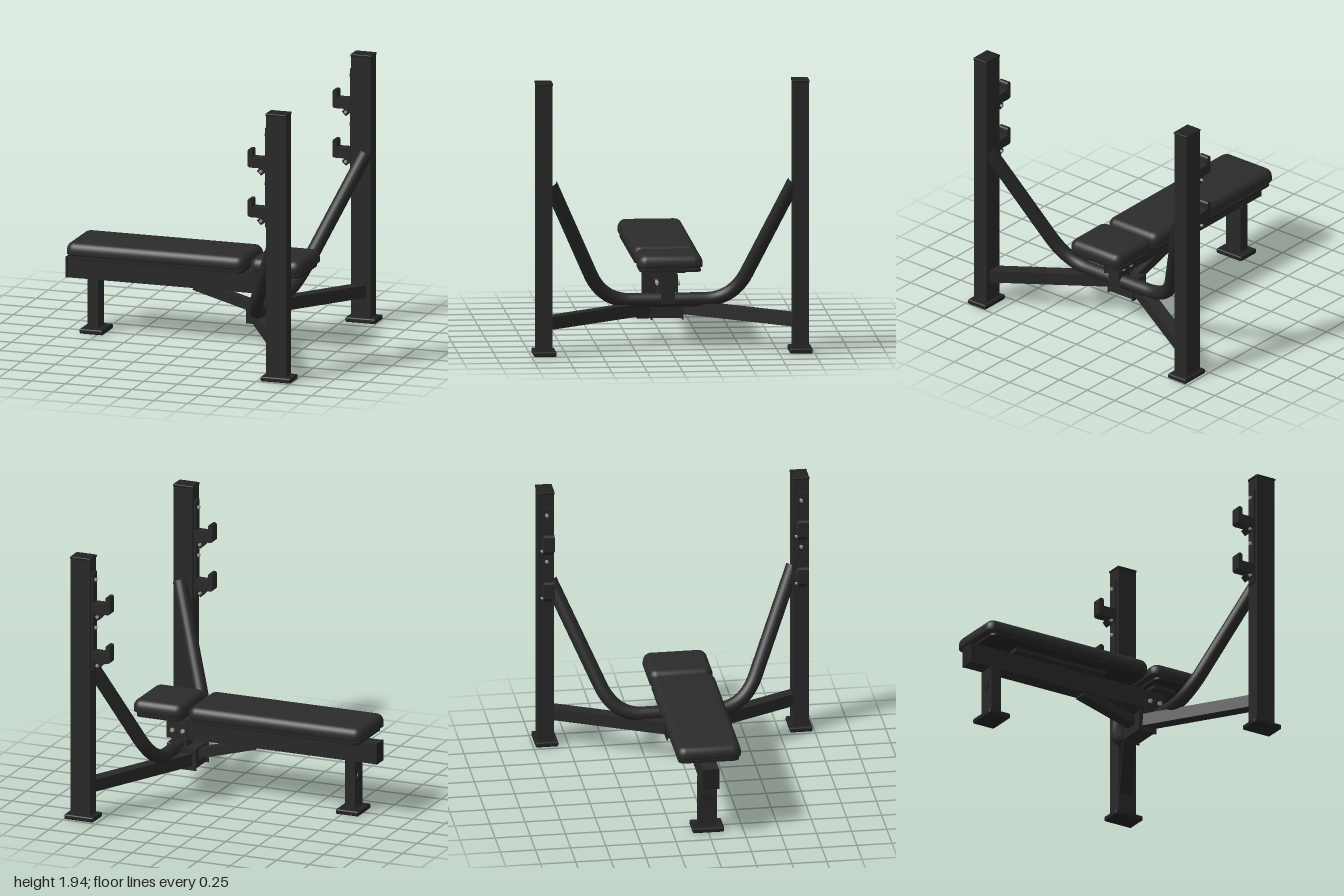
import * as THREE from 'three';
import { toCreasedNormals } from 'three/addons/utils/BufferGeometryUtils.js';
import { RoundedBoxGeometry } from 'three/addons/geometries/RoundedBoxGeometry.js';

const paint = (name, color) => {
  const m = new THREE.MeshStandardMaterial({ color });
  m.name = name;
  return m;
};

export function createModel() {
  const frame = paint('frame black', 0x282828);
  const vinyl = paint('pad vinyl', 0x2b2b2b);
  const dark = paint('foot black', 0x222222);
  const steel = paint('bolt steel', 0xa0a0a0);
  const model = new THREE.Group();
  model.name = 'benchPress';

  const add = (name, geo, mat, parent = model) => {
    const mesh = new THREE.Mesh(geo, mat);
    mesh.name = name;
    parent.add(mesh);
    return mesh;
  };
  // Box given by its extents; r rounds the edges
  const box = (name, [x0, x1], [y0, y1], [z0, z1], mat = frame, r = 0, parent = model) => {
    const size = [x1 - x0, y1 - y0, z1 - z0];
    const geo = r ? new RoundedBoxGeometry(...size, 2, r) : new THREE.BoxGeometry(...size);
    const mesh = add(name, geo, mat, parent);
    mesh.position.set((x0 + x1) / 2, (y0 + y1) / 2, (z0 + z1) / 2);
    return mesh;
  };
  // Straight box tube between two points
  const beam = (name, a, b, w, h, parent = model) => {
    const p = new THREE.Vector3(...a), q = new THREE.Vector3(...b);
    const mesh = add(name, new THREE.BoxGeometry(w, h, p.distanceTo(q)), frame, parent);
    mesh.position.copy(p).add(q).multiplyScalar(0.5);
    mesh.lookAt(q);
    return mesh;
  };
  // Hex bolt head with its axis along 'x' or 'z'
  const bolt = (x, y, z, axis, r = 0.014, parent = model) => {
    const mesh = add('bolt', new THREE.CylinderGeometry(r, r, 0.02, 6), steel, parent);
    mesh.rotation[axis === 'x' ? 'z' : 'x'] = Math.PI / 2;
    mesh.position.set(x, y, z);
  };
  const roundedRect = (x0, x1, hz, r) => {
    const s = new THREE.Shape();
    s.moveTo(x0 + r, -hz);
    s.absarc(x1 - r, -hz + r, r, -Math.PI / 2, 0);
    s.absarc(x1 - r, hz - r, r, 0, Math.PI / 2);
    s.absarc(x0 + r, hz - r, r, Math.PI / 2, Math.PI);
    s.absarc(x0 + r, -hz + r, r, Math.PI, Math.PI * 1.5);
    return s;
  };

  // Cushion: soft upper edge, tight lower edge, with a backing board
  const cushion = (name, x0, x1) => {
    const geo = new THREE.ExtrudeGeometry(roundedRect(x0, x1, 0.228, 0.065), {
      depth: 0.025, bevelThickness: 0.058, bevelSize: 0.05, bevelOffset: -0.05,
      bevelSegments: 7, curveSegments: 8,
    });
    const p = geo.attributes.position;
    for (let i = 0; i < p.count; i++) if (p.getZ(i) < 0) p.setZ(i, p.getZ(i) * 0.22);
    geo.rotateX(-Math.PI / 2);
    add(name, toCreasedNormals(geo, 0.7), vinyl).position.y = 0.598;
    const board = new THREE.ExtrudeGeometry(roundedRect(x0 + 0.03, x1 - 0.025, 0.216, 0.045),
      { depth: 0.016, bevelEnabled: false, curveSegments: 6 });
    board.rotateX(-Math.PI / 2);
    add(name + 'Board', toCreasedNormals(board, 0.6), dark).position.y = 0.56;
    box(name + 'Spacer', [x0 + 0.1, x1 - 0.1], [0.574, 0.588], [-0.15, 0.15], dark);
  };
  cushion('benchPad', -0.95, 0.39);
  cushion('headPad', 0.42, 0.815);
  box('benchPadMount', [-0.66, 0.095], [0.534, 0.561], [-0.115, 0.115]);
  box('headPadMount', [0.49, 0.665], [0.534, 0.561], [-0.115, 0.115]);

  // Spine, its end cap, and the front leg
  box('spine', [-0.99, 0.6], [0.388, 0.535], [-0.058, 0.058]);
  box('spineCap', [-1, -0.988], [0.386, 0.537], [-0.06, 0.06], dark);
  box('frontLeg', [-0.835, -0.757], [0.03, 0.39], [-0.065, 0.065]);
  box('frontFoot', [-0.88, -0.705], [0, 0.036], [-0.112, 0.112], dark, 0.01);
  const badge = add('legDisc', new THREE.CylinderGeometry(0.035, 0.035, 0.008, 24), dark);
  badge.rotation.z = Math.PI / 2;
  badge.position.set(-0.838, 0.26, 0);

  // Diagonal strut and the junction box under the spine
  beam('strut', [-0.05, 0.402, 0], [0.4, 0.277, 0], 0.09, 0.065);
  box('junction', [0.375, 0.505], [0.19, 0.33], [-0.105, 0.105]);
  box('junctionPost', [0.46, 0.58], [0.3, 0.4], [-0.05, 0.05]);

  for (const s of [1, -1]) {
    const zr = (a, b) => (s > 0 ? [a, b] : [-b, -a]);
    box('junctionPlate', [0.365, 0.51], [0.18, 0.34], zr(0.104, 0.116));
    box('spinePlate', [0.45, 0.61], [0.385, 0.512], zr(0.056, 0.068));
    for (const x of [0.485, 0.565]) bolt(x, 0.447, s * 0.073, 'z', 0.016);

    // Upright with foot and cap
    const side = new THREE.Group();
    side.name = s > 0 ? 'leftUpright' : 'rightUpright';
    model.add(side);
    box('post', [0.81, 0.957], [0.03, 1.93], zr(0.85, 0.962), frame, 0, side);
    box('postCap', [0.805, 0.962], [1.925, 1.942], zr(0.846, 0.966), dark, 0.005, side);
    box('postFoot', [0.775, 1], [0, 0.036], zr(0.824, 0.985), dark, 0.01, side);
    beam('lowerArm', [0.43, 0.26, s * 0.1], [0.885, 0.228, s * 0.87], 0.09, 0.09, side);

    // Bar rests on a bolted rail
    box('hookRail', [0.795, 0.812], [1.11, 1.83], zr(0.872, 0.938), frame, 0, side);
    for (const y of [1.775, 1.42]) bolt(0.79, y, s * 0.905, 'x', 0.013, side);
    for (const y of [1.535, 1.175]) {
      const rest = new THREE.Shape();
      [[0.798, 0], [0.798, 0.075], [0.7, 0.075], [0.7, 0.12], [0.692, 0.132], [0.673, 0.132],
        [0.665, 0.12], [0.665, 0.012], [0.677, 0]].forEach(([x, h], i) =>
        i ? rest.lineTo(x, h) : rest.moveTo(x, h));
      add('barRest', new THREE.ExtrudeGeometry(rest, { depth: 0.076, bevelEnabled: false }),
        frame, side).position.set(0, y, s * 0.905 - 0.038);
      const lug = add('restLug', new THREE.BoxGeometry(0.045, 0.045, 0.06), frame, side);
      lug.rotation.z = Math.PI / 4;
      lug.position.set(0.763, y - 0.022, s * 0.905);
      for (const e of [1, -1]) bolt(0.763, y - 0.022, s * 0.905 + e * 0.036, 'z', 0.011, side);
    }
  }

  // Bent round tube from post to post, passing below the head pad
  const v = (x, y, z) => new THREE.Vector3(x, y, z);
  const path = new THREE.CurvePath();
  const L = [v(0.915, 1.225, 0.865), v(0.617, 0.53, 0.554), v(0.53, 0.325, 0.463), v(0.53, 0.325, 0.26)];
  const R = L.map((p) => v(p.x, p.y, -p.z));
  path.add(new THREE.LineCurve3(L[0], L[1]));
  path.add(new THREE.QuadraticBezierCurve3(L[1], L[2], L[3]));
  path.add(new THREE.LineCurve3(L[3], R[3]));
  path.add(new THREE.QuadraticBezierCurve3(R[3], R[2], R[1]));
  path.add(new THREE.LineCurve3(R[1], R[0]));
  add('bentTube', new THREE.TubeGeometry(path, 120, 0.05, 20), frame);

  return model;
}
